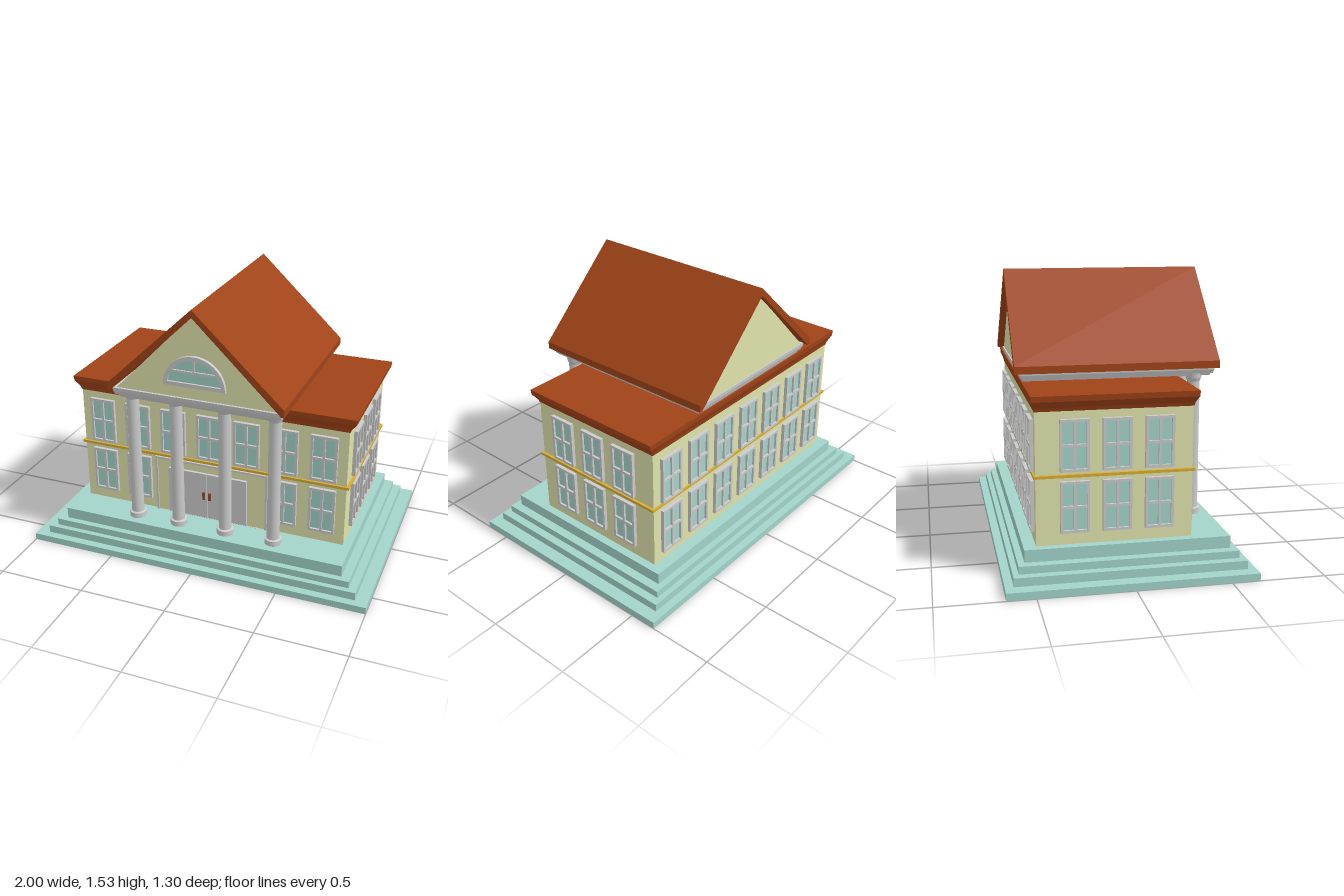
import * as THREE from 'three';

const mat = (color) => new THREE.MeshStandardMaterial({ color });
const GREY = mat(0xcccccc), WALL = mat(0xe0e3ac), TEAL = mat(0xa3d4ca);
const ROOF = mat(0xa04318), GOLD = mat(0xd9ae35), HANDLE = mat(0x94451f);

function add(parent, name, geo, material, x = 0, y = 0, z = 0) {
  const mesh = new THREE.Mesh(geo, material);
  mesh.name = name;
  mesh.position.set(x, y, z);
  parent.add(mesh);
  return mesh;
}

// Box given by its limits on each axis
function block(parent, name, material, x0, x1, y0, y1, z0, z1) {
  return add(parent, name, new THREE.BoxGeometry(x1 - x0, y1 - y0, z1 - z0), material,
    (x0 + x1) / 2, (y0 + y1) / 2, (z0 + z1) / 2);
}

// Closed rectangular moulding: each level is [y, half width, back z, front z]
function moulding(levels) {
  const pos = [];
  const rings = levels.map(([y, w, b, f]) => [[-w, y, f], [w, y, f], [w, y, b], [-w, y, b]]);
  const quad = (a, b, c, d) => pos.push(...a, ...b, ...c, ...a, ...c, ...d);
  for (let i = 0; i < rings.length - 1; i++) {
    for (let k = 0; k < 4; k++) {
      const n = (k + 1) % 4;
      quad(rings[i][k], rings[i][n], rings[i + 1][n], rings[i + 1][k]);
    }
  }
  const [a, b, c, d] = rings[0];
  quad(d, c, b, a);
  quad(...rings[rings.length - 1]);
  const geo = new THREE.BufferGeometry();
  geo.setAttribute('position', new THREE.Float32BufferAttribute(pos, 3));
  geo.computeVertexNormals();
  return geo;
}

function polygon(points) {
  return new THREE.Shape(points.map(([x, y]) => new THREE.Vector2(x, y)));
}

function extrude(shape, depth, curveSegments = 24) {
  return new THREE.ExtrudeGeometry(shape, { depth, bevelEnabled: false, curveSegments });
}

const rect = (x0, x1, y0, y1) => [[x0, y0], [x1, y0], [x1, y1], [x0, y1]];

// Four-pane window, centred on its origin and facing +z
const W = 0.075, H = 0.135;
const frameShape = polygon(rect(-W, W, -H, H));
for (const sx of [-1, 1]) {
  for (const sy of [-1, 1]) {
    const xs = [sx * 0.007, sx * (W - 0.014)].sort((a, b) => a - b);
    const ys = [sy * 0.007, sy * (H - 0.014)].sort((a, b) => a - b);
    frameShape.holes.push(polygon(rect(...xs, ...ys)));
  }
}
const frameGeo = extrude(frameShape, 0.02);
const paneGeo = new THREE.BoxGeometry(2 * W - 0.01, 2 * H - 0.01, 0.008);

function addWindow(parent, x, y, z, turn) {
  const g = new THREE.Group();
  g.name = 'window';
  add(g, 'windowFrame', frameGeo, GREY);
  add(g, 'windowPanes', paneGeo, TEAL, 0, 0, 0.004);
  g.position.set(x, y, z);
  g.rotation.y = turn;
  parent.add(g);
}

// Turned column from plinth to capital
const columnGeo = new THREE.LatheGeometry([
  [0, 0], [0.048, 0], [0.048, 0.03], [0.036, 0.034], [0.035, 0.75],
  [0.043, 0.77], [0.046, 0.8], [0, 0.8],
].flatMap(([r, y], i, all) => {
  // doubled points keep the turned edges crisp
  const p = new THREE.Vector2(r, y);
  return i > 0 && i < all.length - 1 ? [p, p.clone().setY(y + 0.0005)] : [p];
}), 24);

function halfDisc(r, y = 0) {
  const s = new THREE.Shape();
  const a = Math.asin(y / r);
  s.absarc(0, 0, r, a, Math.PI - a, false);
  s.closePath();
  return s;
}

// Half-round attic window
function lunette() {
  const g = new THREE.Group();
  g.name = 'archedWindow';
  const frame = halfDisc(0.175);
  const hole = new THREE.Path();
  const a = Math.asin(0.022 / 0.152);
  hole.absarc(0, 0, 0.152, a, Math.PI - a, false);
  hole.closePath();
  frame.holes.push(hole);
  add(g, 'archedFrame', extrude(frame, 0.02), GREY);
  add(g, 'archedPane', extrude(halfDisc(0.16, 0.01), 0.008), TEAL);
  block(g, 'archedMullion', GREY, -0.006, 0.006, 0.09, 0.156, 0, 0.018);
  block(g, 'archedTransom', GREY, -0.135, 0.135, 0.078, 0.09, 0, 0.018);
  return g;
}

export function createModel() {
  const model = new THREE.Group();
  model.name = 'columnedHall';

  // Stepped base
  [[1, 0.65, 0, 0.04], [0.93, 0.605, 0.04, 0.085], [0.885, 0.575, 0.085, 0.125], [0.835, 0.54, 0.125, 0.19]]
    .forEach(([x, z, y0, y1]) => block(model, 'step', TEAL, -x, x, y0, y1, -z, z));

  // Main body, belt course and flat roof with flared cornice
  block(model, 'walls', WALL, -0.79, 0.79, 0.19, 0.89, -0.475, 0.34);
  block(model, 'beltCourse', GOLD, -0.805, 0.805, 0.545, 0.56, -0.485, 0.351);
  add(model, 'flatRoof', moulding([
    [0.885, 0.792, -0.477, 0.342], [0.905, 0.8, -0.482, 0.345],
    [0.94, 0.828, -0.496, 0.36], [0.97, 0.832, -0.498, 0.362],
  ]), ROOF);

  // Windows on all four walls; the lower front leaves room for the door
  for (const y of [0.39, 0.71]) {
    for (let i = -3; i <= 3; i++) {
      if (y > 0.5 || Math.abs(i) > 1) addWindow(model, i * 0.22, y, 0.34, 0);
      addWindow(model, i * 0.22, y - 0.008, -0.475, Math.PI);
    }
    for (const z of [0.163, -0.057, -0.276]) {
      for (const s of [-1, 1]) addWindow(model, s * 0.79, y, z, s * Math.PI / 2);
    }
  }

  // Entrance with surround, double door and handles
  const door = new THREE.Group();
  door.name = 'entrance';
  const surround = polygon(rect(-0.335, 0.345, 0.19, 0.54));
  surround.holes.push(polygon(rect(-0.323, 0.333, 0.191, 0.528)));
  add(door, 'doorSurround', extrude(surround, 0.014), GREY, 0, 0, 0.34);
  block(door, 'doorPanel', WALL, -0.323, 0.333, 0.19, 0.528, 0.335, 0.347);
  block(door, 'leftDoor', GREY, -0.011, 0.225, 0.2, 0.485, 0.34, 0.364);
  block(door, 'rightDoor', GREY, -0.25, -0.014, 0.2, 0.485, 0.34, 0.364);
  for (const x of [-0.031, 0.005]) {
    block(door, 'doorHandle', HANDLE, x - 0.007, x + 0.007, 0.322, 0.368, 0.362, 0.373);
  }
  model.add(door);

  // Portico columns and entablature
  for (const x of [-0.412, -0.153, 0.132, 0.417]) {
    add(model, 'column', columnGeo, GREY, x, 0.19, 0.45);
  }
  add(model, 'entablature', moulding([
    [0.975, 0.445, -0.493, 0.53], [0.988, 0.45, -0.498, 0.536], [0.99, 0.47, -0.503, 0.541],
    [1.01, 0.478, -0.51, 0.547], [1.03, 0.48, -0.512, 0.549],
  ]), GREY);

  // Gable and pitched roof
  add(model, 'gable', extrude(polygon([[-0.47, 1.02], [0.47, 1.02], [0, 1.5]]), 1.04), WALL, 0, 0, -0.505);
  add(model, 'pitchedRoof', extrude(polygon([
    [0, 1.535], [-0.5, 1.062], [-0.5, 1.022], [-0.485, 1.022], [0, 1.493], [0.485, 1.022], [0.5, 1.022], [0.5, 1.062],
  ]), 1.11), ROOF, 0, 0, -0.54);
  const arch = lunette();
  arch.position.set(0, 1.1, 0.535);
  model.add(arch);

  return model;
}
